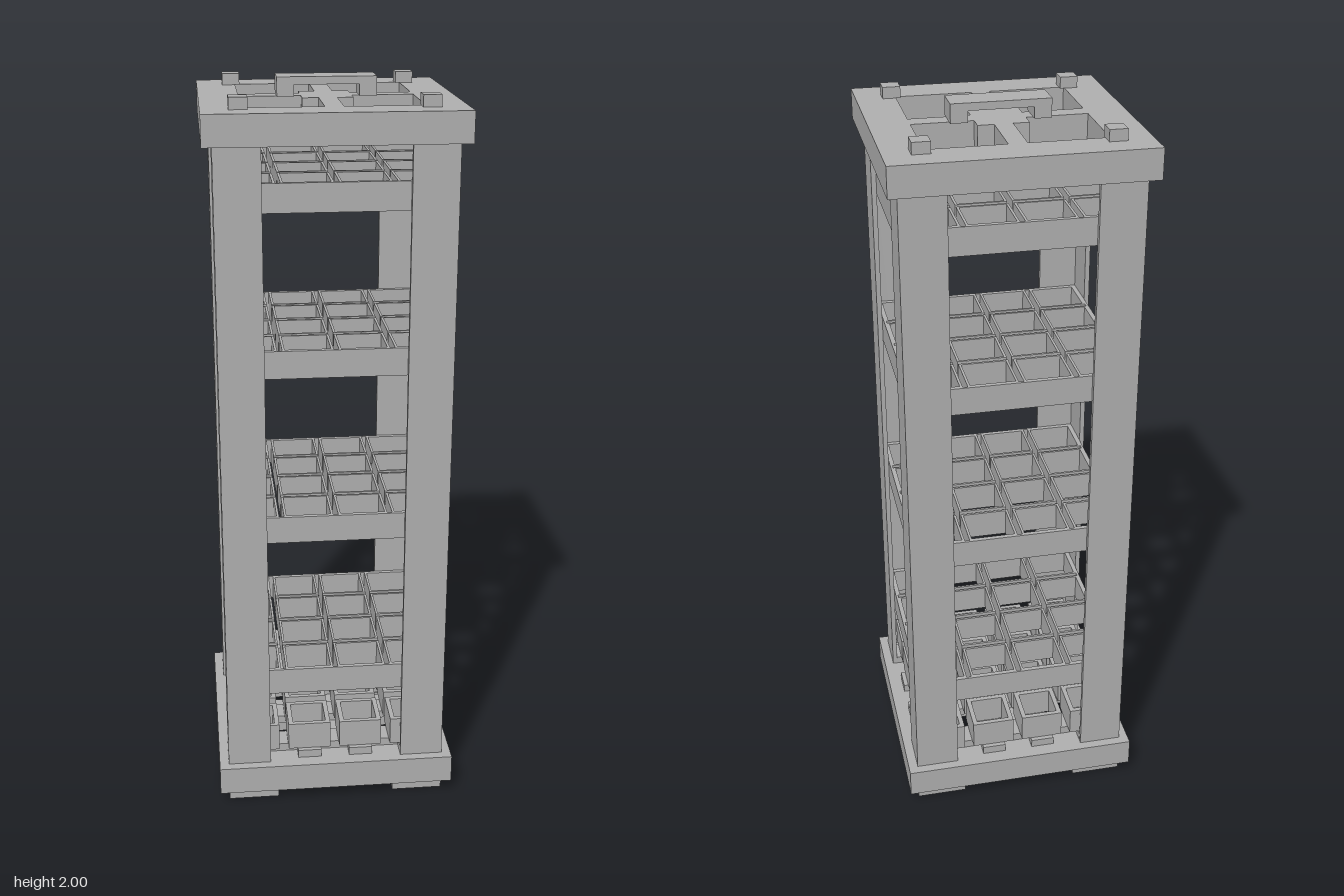
import * as THREE from 'three';

export function createModel() {
  const model = new THREE.Group();
  model.name = 'gridTower';
  const grey = new THREE.MeshStandardMaterial({ color: 0xb0b0b0 });
  grey.name = 'plainGrey';

  const pitch = 0.1467;
  const cells = [-1.5, -0.5, 0.5, 1.5].map((k) => k * pitch);
  const signs = [-1, 1];

  const addMesh = (geometry, name, parent) => {
    const mesh = new THREE.Mesh(geometry, grey);
    mesh.name = name;
    parent.add(mesh);
    return mesh;
  };

  // Box given by its limits on each axis
  const box = (name, parent, [x0, x1], [y0, y1], [z0, z1]) => {
    const mesh = addMesh(new THREE.BoxGeometry(x1 - x0, y1 - y0, z1 - z0), name, parent);
    mesh.position.set((x0 + x1) / 2, (y0 + y1) / 2, (z0 + z1) / 2);
    return mesh;
  };

  // Extrude a flat outline upwards from y0 to y1
  const slab = (name, parent, shape, y0, y1) => {
    const geometry = new THREE.ExtrudeGeometry(shape, { depth: y1 - y0, bevelEnabled: false });
    geometry.rotateX(-Math.PI / 2);
    const mesh = addMesh(geometry, name, parent);
    mesh.position.y = y0;
    return mesh;
  };

  const square = (Type, half) => new Type([[-1, -1], [1, -1], [1, 1], [-1, 1]]
    .map(([x, y]) => new THREE.Vector2(x * half, y * half)));

  // Square tube with open ends
  const ring = (name, parent, outer, inner, y0, y1) => {
    const shape = square(THREE.Shape, outer);
    shape.holes.push(square(THREE.Path, inner));
    return slab(name, parent, shape, y0, y1);
  };

  // End frame: square rim, cross bars and centre pad
  const endFrame = (name, y0, y1) => {
    const group = new THREE.Group();
    group.name = name;
    model.add(group);
    const inner = 0.228, bar = 0.024, pad = 0.0667, y = [y0, y1];
    ring(name + 'Rim', group, 0.333, inner, y0, y1);
    box('centrePad', group, [-pad, pad], y, [-pad, pad]);
    for (const s of signs) {
      const span = s > 0 ? [pad, inner] : [-inner, -pad];
      box('crossBarX', group, span, y, [-bar, bar]);
      box('crossBarZ', group, [-bar, bar], y, span);
    }
  };
  endFrame('base', 0.037, 0.117);
  endFrame('topFrame', 1.87, 1.95);

  // Corner feet, pegs and angle-section columns
  const angle = new THREE.Shape([[0.307, 0.307], [0.187, 0.307], [0.187, 0.2935],
    [0.2935, 0.2935], [0.2935, 0.187], [0.307, 0.187]].map(([x, y]) => new THREE.Vector2(x, y)));
  for (let i = 0; i < 4; i++) {
    const corner = new THREE.Group();
    corner.name = 'corner' + (i + 1);
    corner.rotation.y = i * Math.PI / 2;
    model.add(corner);
    box('foot', corner, [0.165, 0.307], [0, 0.037], [0.165, 0.307]);
    box('peg', corner, [0.216, 0.263], [1.95, 1.98], [0.216, 0.263]);
    slab('column', corner, angle, 0.117, 1.87);
  }

  // Lattice floor on the base
  const floor = new THREE.Group();
  floor.name = 'latticeFloor';
  model.add(floor);
  for (const c of cells) {
    const long = [-0.293, 0.293], wide = [c - 0.0333, c + 0.0333];
    box('floorSlatX', floor, long, [0.117, 0.14], wide);
    box('floorSlatZ', floor, wide, [0.117, 0.14], long);
  }

  // A four by four set of open square tubes
  const tubeGrid = (name, parent, outer, inner, y0, y1) => {
    for (const x of cells) {
      for (const z of cells) {
        const mesh = ring(name, parent, outer, inner, y0, y1);
        mesh.position.x = x;
        mesh.position.z = z;
      }
    }
  };

  // Bottom sockets
  const sockets = new THREE.Group();
  sockets.name = 'sockets';
  model.add(sockets);
  tubeGrid('socket', sockets, 0.06, 0.0467, 0.14, 0.22);

  // Divided shelves
  [0.333, 0.8, 1.267, 1.7].forEach((y, i) => {
    const shelf = new THREE.Group();
    shelf.name = 'shelf' + (i + 1);
    model.add(shelf);
    ring('shelfRail', shelf, 0.2933, 0.2867, y, y + 0.075);
    tubeGrid('shelfCell', shelf, 0.0667, 0.06, y, y + 0.075);
  });

  // Carrying handle
  const handle = new THREE.Group();
  handle.name = 'handle';
  model.add(handle);
  box('handleGrip', handle, [-0.13, 0.13], [1.98, 2], [-0.04, 0.04]);
  for (const s of signs) {
    box('handleLeg', handle, s > 0 ? [0.085, 0.13] : [-0.13, -0.085], [1.95, 1.98], [-0.04, 0.04]);
  }

  return model;
}
